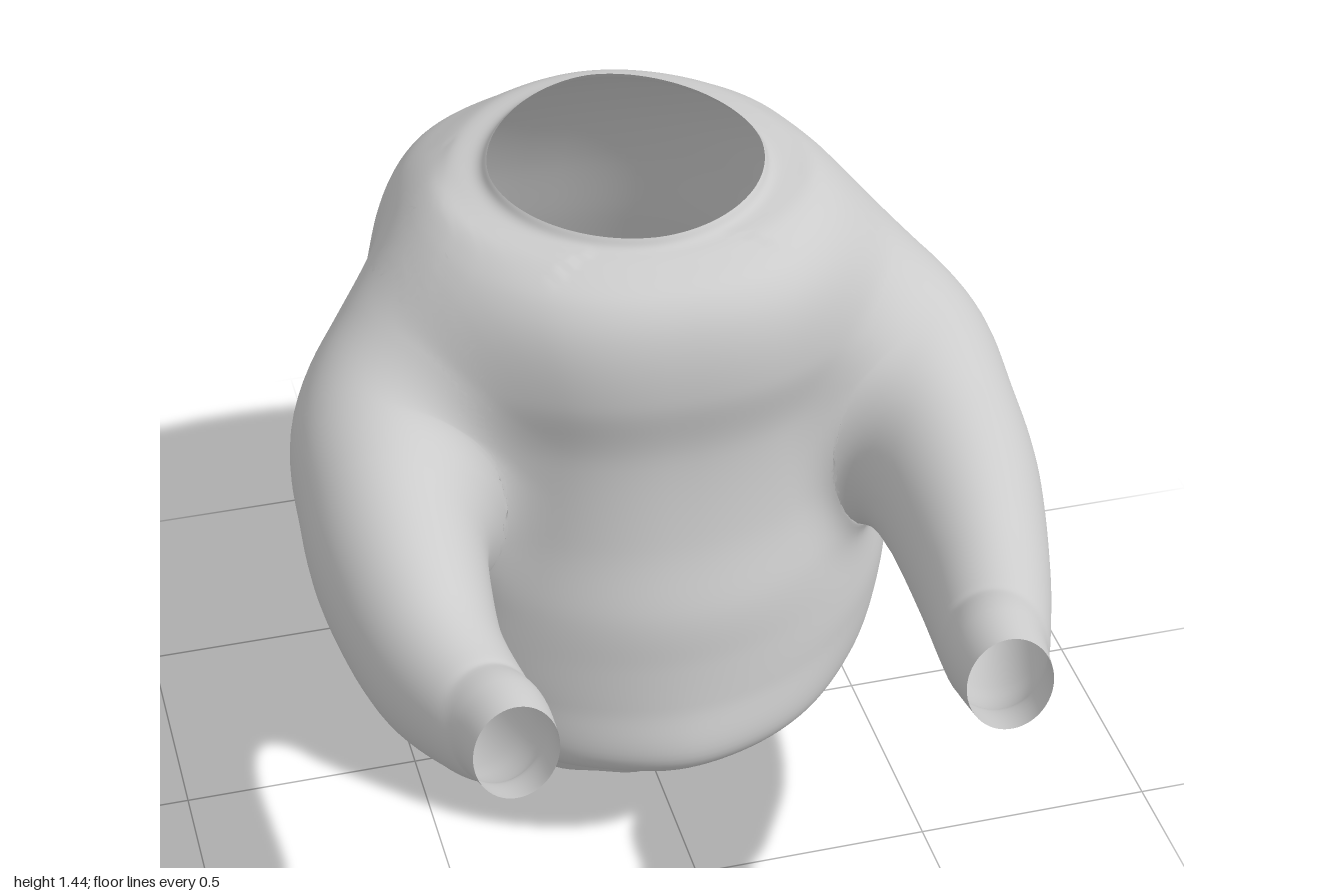
import * as THREE from 'three';

const material = new THREE.MeshStandardMaterial({ color: 0xcccccc, side: THREE.DoubleSide, roughness: 0.9 });
const V = (x, y, z) => new THREE.Vector3(x, y, z);
const { lerp, clamp, smoothstep } = THREE.MathUtils;
const spow = (v, p) => Math.sign(v) * Math.pow(Math.abs(v), p);
const spline = pts => new THREE.CatmullRomCurve3(pts, false, 'catmullrom', 0.5);

// Torso levels: height, half width, front z, back z, z of widest point, front squareness
const LEVELS = [
  [0.02, 0.46, 0.16, -0.90, -0.40, 2.0], [0.10, 0.51, 0.22, -0.935, -0.40, 2.0],
  [0.20, 0.57, 0.36, -0.975, -0.39, 1.95], [0.29, 0.605, 0.455, -0.99, -0.37, 1.9],
  [0.42, 0.63, 0.44, -0.995, -0.36, 1.95], [0.52, 0.615, 0.43, -0.98, -0.35, 2.0],
  [0.64, 0.57, 0.42, -0.94, -0.32, 2.05], [0.80, 0.525, 0.38, -0.875, -0.28, 2.15],
  [1.00, 0.495, 0.36, -0.80, -0.23, 2.3], [1.15, 0.48, 0.38, -0.72, -0.18, 2.4],
  [1.27, 0.455, 0.37, -0.63, -0.14, 2.4], [1.35, 0.415, 0.33, -0.55, -0.11, 2.3],
  [1.40, 0.36, 0.25, -0.48, -0.10, 2.2], [1.417, 0.30, 0.21, -0.41, -0.09, 2],
  [1.44, 0.28, 0.195, -0.38, -0.08, 1.9]
];
const sizeCurve = spline(LEVELS.map(l => V(l[1], l[0], l[5])));
const depthCurve = spline(LEVELS.map(l => V(l[2], l[3], l[4])));
const ROWS = 120, COLS = 144;
const levels = Array.from({ length: ROWS + 1 }, (_, i) => {
  const s = sizeCurve.getPoint(i / ROWS), d = depthCurve.getPoint(i / ROWS);
  return {
    y: s.y, w: s.x, zc: d.z, front: d.x - d.z, back: d.z - d.y,
    nFront: s.z, nBack: 2.5 - 0.7 * smoothstep(s.y, 1.3, 1.44)
  };
});

function torsoPoint(r, c) {
  const L = levels[r], a = c / COLS * Math.PI * 2, sn = Math.sin(a), cs = Math.cos(a);
  const back = Math.max(0, -cs), n = cs > 0 ? L.nFront : L.nBack;
  // gathered folds above the hem, strongest at the back
  const fold = 1 + 0.012 * Math.cos(a * 13) * Math.exp(-(((L.y - 0.22) / 0.16) ** 2)) * (0.15 + back);
  const low = Math.max(0, 1 - L.y / 0.3);
  const high = smoothstep(L.y, 1.36, 1.44);
  const ripple = 0.006 * Math.sin(a * 5 + 1) + 0.004 * Math.sin(a * 17);
  const y = L.y + low * (0.06 * sn * sn + 0.03 * back + ripple) - high * 0.018 * cs;
  const depth = cs > 0 ? L.front : L.back;
  return V(L.w * fold * spow(sn, 2 / n), Math.max(0, y), L.zc + depth * fold * spow(cs, 2 / n));
}

// Approximate signed distance to the torso skin
function torsoDistance(x, y, z) {
  let i = 0;
  while (i < ROWS - 1 && levels[i + 1].y < y) i++;
  const A = levels[i], B = levels[i + 1], t = clamp((y - A.y) / (B.y - A.y), 0, 1);
  const dz = z - lerp(A.zc, B.zc, t), w = lerp(A.w, B.w, t);
  const [depth, n] = dz > 0
    ? [lerp(A.front, B.front, t), lerp(A.nFront, B.nFront, t)]
    : [lerp(A.back, B.back, t), lerp(A.nBack, B.nBack, t)];
  const h = Math.pow(Math.abs(x / w) ** n + Math.abs(dz / depth) ** n, 1 / n);
  const slope = (B.w - A.w) / (B.y - A.y);
  return (1 - 1 / Math.max(h, 0.05)) * Math.hypot(x, dz) / Math.sqrt(1 + slope * slope);
}

// Sleeve stations: centre x, y, z, then horizontal and vertical radius
const STATIONS = [
  [0.24, 1.17, -0.05, 0.20, 0.18], [0.32, 1.135, -0.03, 0.22, 0.20],
  [0.42, 1.055, 0.00, 0.225, 0.215], [0.52, 0.95, 0.09, 0.215, 0.225],
  [0.56, 0.875, 0.23, 0.188, 0.222], [0.572, 0.825, 0.39, 0.168, 0.21],
  [0.555, 0.778, 0.59, 0.138, 0.178], [0.51, 0.785, 0.79, 0.112, 0.13],
  [0.485, 0.81, 0.88, 0.098, 0.115], [0.475, 0.825, 0.98, 0.085, 0.1]
];
const path = spline(STATIONS.map(s => V(s[0], s[1], s[2])));
const radii = spline(STATIONS.map(s => V(s[3], s[4], 0)));
const SROWS = 72, SCOLS = 56;
const rings = Array.from({ length: SROWS + 1 }, (_, i) => {
  const t = i / SROWS, dir = path.getTangent(t), r = radii.getPoint(t);
  const u = V(0, 1, 0).cross(dir).normalize();
  return { p: path.getPoint(t), dir, u, v: dir.clone().cross(u), a: r.x, b: r.y };
});

// Approximate signed distance to the left sleeve, as a sweep of ellipsoids
function sleeveDistance(x, y, z) {
  let best = Infinity;
  for (const { p, dir, u, v, a, b } of rings) {
    const dx = x - p.x, dy = y - p.y, dz = z - p.z;
    const s = (dx * u.x + dy * u.y + dz * u.z) / a, t = (dx * v.x + dy * v.y + dz * v.z) / b;
    const d = (dx * dir.x + dy * dir.y + dz * dir.z) / a;
    best = Math.min(best, (Math.sqrt(s * s + t * t + d * d) - 1) * (a + b) / 2);
  }
  return best;
}

// Soft union of torso and sleeve, used to round the armhole seam
const SOFT = 0.15;
function union(x, y, z) {
  const f = torsoDistance(x, y, z), g = sleeveDistance(x, y, z);
  const h = Math.max(SOFT - Math.abs(f - g), 0) / SOFT;
  return Math.min(f, g) - h * h * SOFT / 4;
}

function settle(p) {
  const side = p.x < 0 ? -1 : 1, e = 0.004;
  const weight = 1 - smoothstep(p.y, 1.36, 1.41);
  let x = Math.abs(p.x), { y, z } = p;
  for (let i = 0; i < 4; i++) {
    const f = union(x, y, z);
    const gx = (union(x + e, y, z) - f) / e, gy = (union(x, y + e, z) - f) / e, gz = (union(x, y, z + e) - f) / e;
    const k = clamp(f, -0.05, 0.05) * weight / Math.max(gx * gx + gy * gy + gz * gz, 0.3);
    x -= gx * k; y -= gy * k; z -= gz * k;
  }
  p.set(x * side, y, z);
}

// Closed-around grid surface; it blends into the other part and opens where buried in it
function skin(name, rows, cols, point, otherDistance, flip) {
  const pos = [], idx = [], off = [];
  for (let r = 0; r <= rows; r++) for (let c = 0; c < cols; c++) {
    const p = point(r, c), d = otherDistance(Math.abs(p.x), p.y, p.z);
    off.push(d < -0.045);
    if (d < SOFT && d > -0.1) settle(p);
    pos.push(p.x, p.y, p.z);
  }
  for (let r = 0; r < rows; r++) for (let c = 0; c < cols; c++) {
    const a = r * cols + c, b = r * cols + (c + 1) % cols, d = a + cols, e = b + cols;
    if (off[a] && off[b] && off[d] && off[e]) continue;
    if (flip) idx.push(a, d, b, b, d, e);
    else idx.push(a, b, d, b, e, d);
  }
  const g = new THREE.BufferGeometry();
  g.setAttribute('position', new THREE.Float32BufferAttribute(pos, 3));
  g.setIndex(idx);
  g.computeVertexNormals();
  const mesh = new THREE.Mesh(g, material);
  mesh.name = name;
  return mesh;
}

function sleeve(name, side) {
  return skin(name, SROWS, SCOLS, (r, c) => {
    const k = rings[r], a = c / SCOLS * Math.PI * 2;
    const p = k.p.clone().addScaledVector(k.u, k.a * Math.cos(a)).addScaledVector(k.v, k.b * Math.sin(a));
    // the right cuff ends slightly shorter
    if (side < 0 && p.z > 0.5) p.z -= (p.z - 0.5) * 0.1;
    p.x *= side;
    return p;
  }, torsoDistance, side < 0);
}

export function createModel() {
  const group = new THREE.Group();
  group.name = 'sweater';
  group.add(
    skin('torso', ROWS, COLS, torsoPoint, sleeveDistance, false),
    sleeve('leftSleeve', 1),
    sleeve('rightSleeve', -1)
  );
  return group;
}
